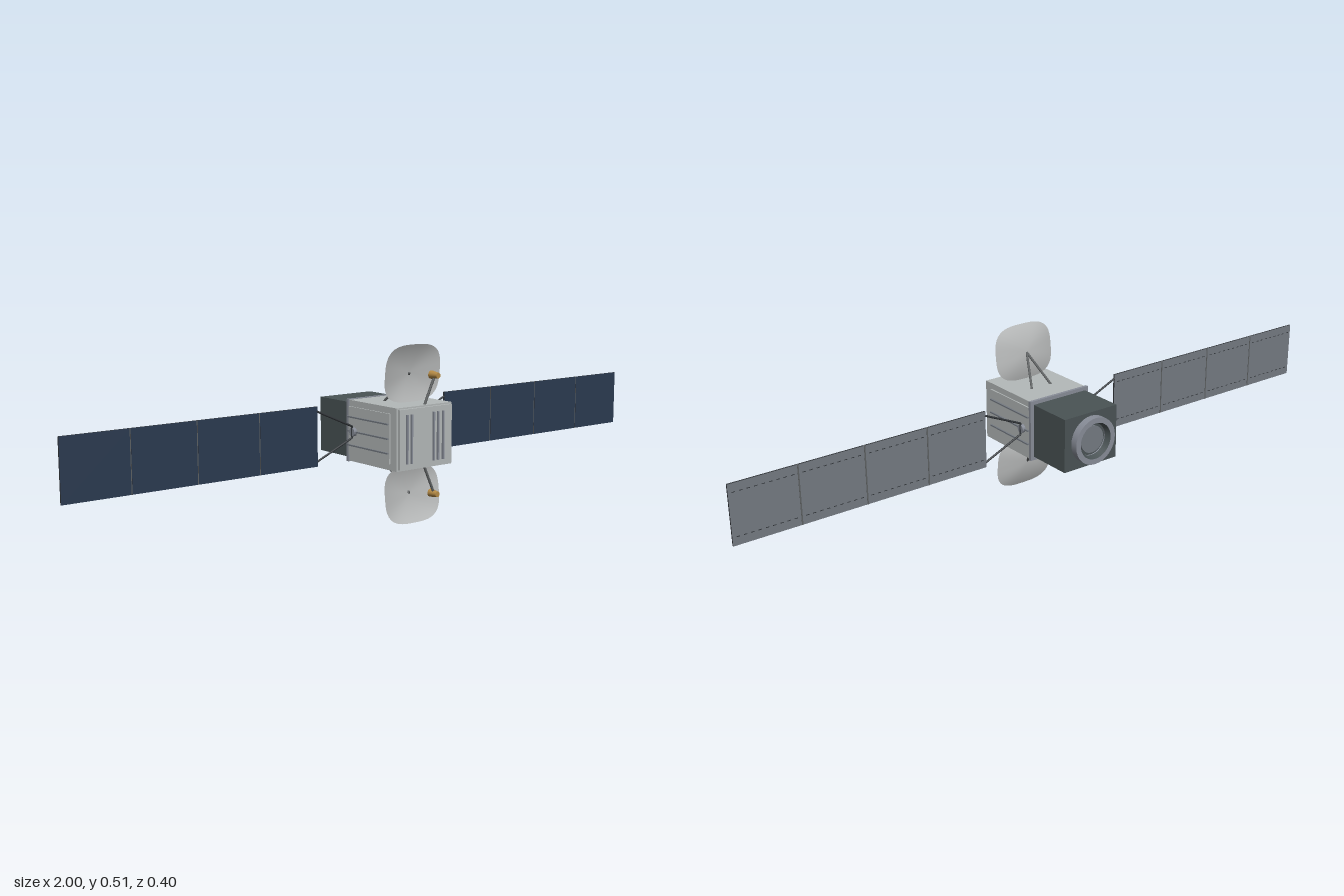
import * as THREE from 'three';

const mat = (name, color, side = THREE.FrontSide) =>
  Object.assign(new THREE.MeshStandardMaterial({ color, side }), { name });

export function createModel() {
  const bodyGrey = mat('body grey', 0xb4b9b9);
  const aftGrey = mat('dark slate', 0x4a5355);
  const steel = mat('steel', 0x888d98);
  const strutGrey = mat('strut grey', 0x5e6162);
  const navy = mat('solar cell navy', 0x2b3a50);
  const backGrey = mat('panel back grey', 0x747a82);
  const edgeDark = mat('dark edge', 0x33373b);
  const gold = mat('gold', 0xb58a45);
  const dishGrey = mat('dish grey', 0xb9bbbb, THREE.DoubleSide);

  const model = new THREE.Group();
  model.name = 'satellite';
  // everything is laid out around the body axis
  const craft = new THREE.Group();
  craft.name = 'craft';
  craft.position.y = 0.256;
  model.add(craft);

  const add = (parent, name, geo, material, x = 0, y = 0, z = 0) => {
    const m = new THREE.Mesh(geo, material);
    m.name = name;
    m.position.set(x, y, z);
    parent.add(m);
    return m;
  };
  // box given by its size and z range
  const slab = (parent, name, w, h, z0, z1, material, x = 0, y = 0) =>
    add(parent, name, new THREE.BoxGeometry(w, h, z1 - z0), material, x, y, (z0 + z1) / 2);
  // thin rod between two points
  const rod = (parent, name, a, b, r, material) => {
    const p = new THREE.Vector3(...a), q = new THREE.Vector3(...b);
    const d = q.clone().sub(p);
    const m = add(parent, name, new THREE.CylinderGeometry(r, r, d.length(), 8), material);
    m.position.copy(p).add(q).multiplyScalar(0.5);
    m.quaternion.setFromUnitVectors(new THREE.Vector3(0, 1, 0), d.normalize());
    return m;
  };

  // main body, front plate, rear flange and service module
  slab(craft, 'body', 0.2, 0.177, -0.03, 0.185, bodyGrey);
  slab(craft, 'frontPlate', 0.19, 0.168, 0.185, 0.193, bodyGrey);
  slab(craft, 'rearFlange', 0.208, 0.181, -0.037, -0.028, steel);
  slab(craft, 'serviceModule', 0.186, 0.16, -0.178, -0.037, aftGrey);

  // vertical fins on the front
  for (const x of [-0.071, -0.055, 0.025, 0.041, 0.06])
    slab(craft, 'frontFin', 0.004, 0.138, 0.193, 0.2, steel, x);

  // rear ring with a recessed disc
  const ring = [[0.07, 0], [0.07, 0.022], [0.054, 0.022], [0.048, 0.004], [0.048, 0]];
  for (let i = 0; i < ring.length - 1; i++) {
    const pts = [ring[i], ring[i + 1]].map(p => new THREE.Vector2(...p));
    const m = add(craft, 'rearRing', new THREE.LatheGeometry(pts, 32),
      i === 2 ? aftGrey : steel, 0, 0, -0.178);
    m.rotation.x = -Math.PI / 2;
  }
  const disc = add(craft, 'rearDisc', new THREE.CylinderGeometry(0.04, 0.04, 0.006, 32), backGrey, 0, 0, -0.181);
  disc.rotation.x = Math.PI / 2;

  // side panels, louvres, yokes and solar wings
  const panelGap = 0.1925, panelW = 0.1895, panelH = 0.17;
  for (const s of [1, -1]) {
    const wing = new THREE.Group();
    wing.name = s > 0 ? 'leftWing' : 'rightWing';
    craft.add(wing);
    slab(wing, 'sidePanel', 0.004, 0.141, -0.028, 0.158, bodyGrey, s * 0.102);
    for (const y of [-0.041, 0, 0.041])
      slab(wing, 'sideRib', 0.005, 0.004, -0.028, 0.155, backGrey, s * 0.1065, y);

    const hub = add(wing, 'hub', new THREE.CylinderGeometry(0.013, 0.013, 0.014, 8), steel, s * 0.107);
    hub.rotation.z = Math.PI / 2;
    rod(wing, 'yokeBase', [s * 0.113, -0.017, 0], [s * 0.113, 0.017, 0], 0.003, edgeDark);
    for (const t of [1, -1])
      rod(wing, 'yokeArm', [s * 0.113, t * 0.017, 0], [s * 0.237, t * 0.072, 0], 0.003, edgeDark);

    for (let i = 0; i < 4; i++) {
      const x = s * (0.2345 + panelW / 2 + i * panelGap + 0.0005);
      add(wing, 'solarPanel', new THREE.BoxGeometry(panelW, panelH, 0.005),
        [edgeDark, edgeDark, edgeDark, edgeDark, navy, backGrey], x);
      // small marks along the back of each panel
      for (const t of [1, -1])
        for (let k = 0; k < 9; k++)
          slab(wing, 'backMark', 0.009, 0.002, -0.0032, -0.0024, edgeDark,
            x + (k - 4) * 0.02, t * 0.061);
      if (i < 3)
        slab(wing, 'panelHinge', 0.004, panelH, -0.0032, 0.0015, strutGrey, x + s * panelGap / 2);
    }
  }

  // shallow rounded-square bowl, rim in the XY plane and bulging to -z
  const bowl = () => {
    const rings = 10, segs = 48, pos = [], idx = [];
    const sq = v => Math.sign(v) * Math.abs(v) ** 0.64;
    for (let j = 0; j <= rings; j++)
      for (let i = 0; i <= segs; i++) {
        const a = (i / segs) * Math.PI * 2, r = j / rings;
        pos.push(0.1 * r * sq(Math.cos(a)), 0.0825 * r * sq(Math.sin(a)), -0.016 * (1 - r * r));
        if (j < rings && i < segs) {
          const p = j * (segs + 1) + i, q = p + segs + 1;
          idx.push(p, q, q + 1, p, q + 1, p + 1);
        }
      }
    const g = new THREE.BufferGeometry();
    g.setAttribute('position', new THREE.Float32BufferAttribute(pos, 3));
    g.setIndex(idx);
    g.computeVertexNormals();
    return g;
  };

  // dish antennas, mirrored above and below
  for (const s of [1, -1]) {
    const antenna = new THREE.Group();
    antenna.name = s > 0 ? 'upperAntenna' : 'lowerAntenna';
    antenna.scale.y = s;
    craft.add(antenna);
    add(antenna, 'dish', bowl(), dishGrey, 0, 0.173, 0.134).rotation.x = 0.11;
    for (const t of [1, -1])
      rod(antenna, 'dishStrut', [0, 0.173, 0.119], [t * 0.035, 0.086, 0.048], 0.0035, strutGrey);
    rod(antenna, 'feedStrut', [0.008, 0.086, 0.175], [0.04, 0.167, 0.181], 0.0038, strutGrey);
    const horn = add(antenna, 'feedHorn', new THREE.CylinderGeometry(0.008, 0.012, 0.03, 16), gold, 0.041, 0.169, 0.181);
    horn.rotation.x = Math.PI / 2;
  }
  return model;
}
